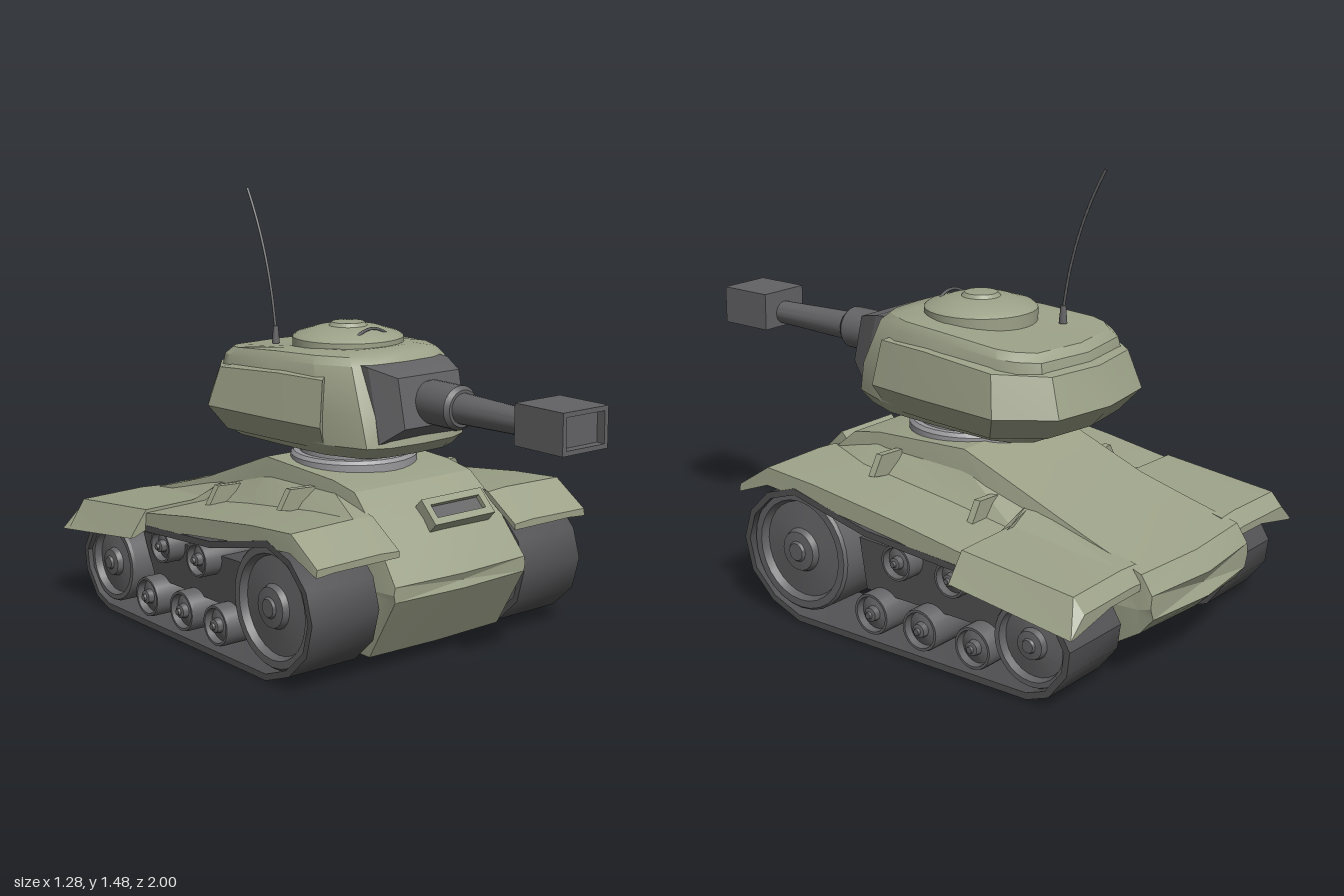
import * as THREE from 'three';
import { toCreasedNormals } from 'three/addons/utils/BufferGeometryUtils.js';

const paint = (color) => new THREE.MeshStandardMaterial({ color });
const olive = paint(0x9ca188), dark = paint(0x636365), rubber = paint(0x515153), steel = paint(0x99999c);

// Skin closed rings of [x, y, z]; rings run counterclockwise about the direction of travel
function loft(rings, crease = 0.5) {
  const n = rings[0].length, pos = rings.flat(2), index = [];
  for (let i = 0; i < rings.length - 1; i++) {
    for (let j = 0; j < n; j++) {
      const a = i * n + j, b = i * n + (j + 1) % n;
      index.push(a, b, b + n, a, b + n, a + n);
    }
  }
  [rings[0], rings[rings.length - 1]].forEach((ring, end) => {
    const c = pos.length / 3, base = end ? (rings.length - 1) * n : 0;
    for (let k = 0; k < 3; k++) pos.push(ring.reduce((t, p) => t + p[k], 0) / n);
    for (let j = 0; j < n; j++) {
      const a = base + j, b = base + (j + 1) % n;
      index.push(c, ...(end ? [a, b] : [b, a]));
    }
  });
  const g = new THREE.BufferGeometry();
  g.setAttribute('position', new THREE.Float32BufferAttribute(pos, 3));
  g.setIndex(index);
  g.computeVertexNormals();
  return toCreasedNormals(g, crease);
}

const lathe = (pts, seg = 28) =>
  toCreasedNormals(new THREE.LatheGeometry(pts.map((p) => new THREE.Vector2(...p)), seg), 0.5);

// Side profile in (z, y), extruded inwards from the plane x = outer
function sideExtrude(shape, outer, depth) {
  const g = new THREE.ExtrudeGeometry(shape, { depth, bevelEnabled: false });
  return toCreasedNormals(g.rotateY(-Math.PI / 2).translate(outer, 0, 0), 0.6);
}
const shapeOf = (pts) => new THREE.Shape(pts.map((p) => new THREE.Vector2(...p)));

// Rectangular ring with a slanted plane
const rect = (w, y0, z0, y1, z1) => [[-w, y0, z0], [w, y0, z0], [w, y1, z1], [-w, y1, z1]];

export function createModel() {
  const model = new THREE.Group();
  const add = (name, geometry, material, parent = model) => {
    const m = new THREE.Mesh(geometry, material);
    m.name = name;
    parent.add(m);
    return m;
  };

  // Hull: z, bottom/middle/top heights, bottom/middle/top half widths, centre bulge
  const hull = [
    [-0.97, 0.22, 0.26, 0.3, 0.27, 0.285, 0.28, -0.03],
    [-0.93, 0.17, 0.25, 0.36, 0.28, 0.29, 0.28, -0.02],
    [-0.74, 0.05, 0.25, 0.415, 0.28, 0.31, 0.265, 0],
    [-0.58, 0.05, 0.26, 0.465, 0.28, 0.31, 0.25, 0],
    [-0.23, 0.05, 0.26, 0.6, 0.28, 0.31, 0.25, 0],
    [0.13, 0.05, 0.26, 0.585, 0.28, 0.31, 0.25, 0],
    [0.24, 0.05, 0.27, 0.565, 0.28, 0.31, 0.25, 0],
    [0.35, 0.05, 0.28, 0.47, 0.28, 0.295, 0.265, 0.01],
    [0.475, 0.26, 0.285, 0.31, 0.28, 0.285, 0.28, 0.015],
  ];
  add('hull', loft(hull.map(([z, yb, ym, yt, wb, wm, wt, k]) => [
    [-wb, yb, z], [0, yb, z + k], [wb, yb, z], [wm, ym, z],
    [wt, yt, z], [0, yt, z + k], [-wt, yt, z], [-wm, ym, z],
  ]), 0.35), olive);

  // Vision port on the sloping front plate
  const port = new THREE.Group();
  port.name = 'visionPort';
  port.position.set(0.07, 0.475, 0.36);
  port.rotation.x = -0.8;
  model.add(port);
  const frame = shapeOf([[-0.13, -0.05], [0.13, -0.05], [0.13, 0.05], [-0.13, 0.05]]);
  frame.holes.push(shapeOf([[-0.105, -0.025], [-0.105, 0.025], [0.105, 0.025], [0.105, -0.025]]));
  add('portFrame', new THREE.ExtrudeGeometry(frame, { depth: 0.06, bevelEnabled: false }).translate(0, 0, -0.03), olive, port);
  add('portSlit', new THREE.BoxGeometry(0.22, 0.06, 0.03), dark, port);

  // Track outline and its inward offset
  const outline = [
    [0.44, 0.24], [0.41, 0.34], [0.33, 0.42], [0.21, 0.46], [0.08, 0.43], [-0.1, 0.39], [-0.47, 0.365],
    [-0.73, 0.335], [-0.83, 0.29], [-0.885, 0.2], [-0.875, 0.12], [-0.81, 0.035], [-0.73, 0.005],
    [0.2, 0], [0.32, 0.045], [0.41, 0.13],
  ];
  const inset = outline.map(([z, y], i) => {
    const a = outline.at(i - 1), b = outline[(i + 1) % outline.length];
    const dz = b[0] - a[0], dy = b[1] - a[1], l = Math.hypot(dz, dy);
    return [z - dy / l * 0.022, y + dz / l * 0.022];
  });
  const band = shapeOf(outline);
  band.holes.push(shapeOf(inset));

  const wheels = [
    [0.21, 0.24, 0.205], [-0.73, 0.175, 0.14],
    [-0.1, 0.1, 0.07], [-0.3, 0.1, 0.07], [-0.51, 0.1, 0.07],
    [-0.205, 0.3, 0.06], [-0.42, 0.3, 0.06],
  ];
  // Fender stations: z, height, rise to the hull, flare, skirt drop
  const fenderFront = [[-0.49, 0.405, 0.06, 0, 0.06], [-0.23, 0.445, 0.1, 0, 0.06],
    [0.13, 0.49, 0.06, 0, 0.06], [0.33, 0.505, 0, 0, 0.06], [0.46, 0.42, 0, 0, 0.025]];
  const fenderRear = [[-0.93, 0.33, 0, 0.06, 0.06], [-0.89, 0.375, 0, 0.06, 0.1], [-0.48, 0.418, 0.05, 0.06, 0.09]];

  for (const s of [1, -1]) {
    const side = new THREE.Group();
    side.name = s > 0 ? 'leftRunningGear' : 'rightRunningGear';
    model.add(side);
    const handed = (ring) => {
      const r = ring.map(([x, y, z]) => [x * s, y, z]);
      return s < 0 ? r.reverse() : r;
    };

    add('track', sideExtrude(band, s > 0 ? 0.58 : -0.315, 0.265), rubber, side);
    const plate = shapeOf([[-0.03, 0.15], [0, 0.32], [-0.62, 0.3], [-0.55, 0.15]]);
    add('suspensionPlate', sideExtrude(plate, s > 0 ? 0.5 : -0.34, 0.16), rubber, side);

    for (const [z, y, r] of wheels) {
      const g = lathe([[0, -0.22], [r, -0.22], [r, -0.01], [0.96 * r, 0], [0.84 * r, 0], [0.79 * r, -0.025],
        [0.36 * r, -0.015], [0.32 * r, 0.005], [0.17 * r, 0.008], [0.14 * r, 0.016], [0, 0.016]]);
      add('wheel', g.rotateZ(-s * Math.PI / 2), dark, side).position.set(s * 0.562, y, z);
    }

    const section = ([z, y, rise, w, d]) => handed([
      [0.25, y + rise - 0.02, z], [0.31, y - 0.02, z], [0.56, y - 0.02, z], [0.565 + w, y - d, z],
      [0.58 + w, y - d, z], [0.575, y, z], [0.33, y + 0.005, z], [0.25, y + rise, z],
    ]);
    add('frontFender', loft(fenderFront.map(section), 0.3), olive, side);
    add('rearFender', loft(fenderRear.map(section), 0.3), olive, side);

    // Small triangular brackets between hull and fender
    for (const [z, y] of [[0.035, 0.49], [-0.37, 0.425]]) {
      add('fenderBracket', loft([-0.012, 0.012].map((t) => handed(
        [[0.26, y - 0.02, z + t], [0.4, y, z + t], [0.36, y + 0.065, z + t], [0.26, y + 0.06, z + t]]))), olive, side);
    }
  }

  // Turret ring
  add('turretRing', lathe([[0, 0.55], [0.215, 0.55], [0.215, 0.61], [0.205, 0.622], [0.185, 0.622],
    [0.185, 0.645], [0.2, 0.648], [0.2, 0.68], [0, 0.68]], 32), steel).position.z = -0.07;

  // Turret shell: one plan outline, resized at each height
  const half = [[0, 1], [0.45, 0.99], [0.7, 0.95], [0.9, 0.78], [0.97, 0.5], [1, 0.2], [0.93, 0.12], [0.74, 0.04], [0, 0]];
  const plan = [...half, ...half.slice(1, -1).reverse().map(([u, v]) => [-u, v])];
  const shell = [[0.66, 0.27, 0.25, -0.5], [0.7, 0.295, 0.29, -0.54], [0.8, 0.305, 0.27, -0.56],
    [0.955, 0.285, 0.2, -0.53], [0.98, 0.265, 0.17, -0.5], [0.99, 0.19, 0.1, -0.35]];
  add('turret', loft(shell.map(([y, w, zf, zr]) => plan.map(([u, v]) =>
    [u * w, y - (y > 0.9 ? 0.035 * (1 - v) ** 2 : 0), zr + v * (zf - zr)])), 0.6), olive);

  // Raised armour belt around the sides and rear
  const path = [[0.295, 0.12], [0.325, -0.1], [0.355, -0.42], [0.23, -0.585], [0, -0.62]];
  const belt = [...path, ...path.slice(0, -1).reverse().map(([x, z]) => [-x, z])];
  add('turretBelt', loft(belt.map(([x, z]) => {
    const top = 0.91 + 0.05 * Math.min(0, z + 0.1);
    return [[0.8, top + 0.01], [0.91, top], [1, 0.76], [0.86, 0.68], [0.78, 0.75]].map(
      ([k, y]) => [x * k, y, -0.1 + (z + 0.1) * k]);
  }), 0.3), olive);

  // Mantlet and gun
  add('mantlet', loft([rect(0.17, 0.7, 0.2, 0.96, 0.14), rect(0.17, 0.715, 0.27, 0.955, 0.21),
    rect(0.13, 0.77, 0.345, 0.93, 0.31)], 0.3), dark);
  const gun = add('barrel', lathe([[0, 0.28], [0.062, 0.28], [0.072, 0.33], [0.072, 0.46], [0.06, 0.475],
    [0.05, 0.475], [0.04, 0.82], [0, 0.82]], 24).rotateX(Math.PI / 2), dark);
  gun.position.y = 0.842;
  const muzzle = shapeOf([[-0.095, -0.065], [0.095, -0.065], [0.095, 0.065], [-0.095, 0.065]]);
  muzzle.holes.push(shapeOf([[-0.08, -0.05], [-0.08, 0.05], [0.08, 0.05], [0.08, -0.05]]));
  add('muzzleRim', new THREE.ExtrudeGeometry(muzzle, { depth: 0.03, bevelEnabled: false }).translate(0, 0.858, 0.97), dark);
  add('muzzleBlock', new THREE.BoxGeometry(0.19, 0.13, 0.17).translate(0, 0.858, 0.885), dark);

  // Roof hatch with knob and handle
  add('hatch', lathe([[0, 0.95], [0.188, 0.95], [0.188, 1.005], [0.175, 1.015], [0.11, 1.035], [0.065, 1.04],
    [0.055, 1.052], [0, 1.057]], 32), olive).position.z = -0.1;
  const arc = new THREE.QuadraticBezierCurve3(new THREE.Vector3(-0.07, 1.015, 0.025),
    new THREE.Vector3(0, 1.07, 0.025), new THREE.Vector3(0.07, 1.015, 0.025));
  add('hatchHandle', new THREE.TubeGeometry(arc, 12, 0.005, 6), dark);

  // Antenna
  add('antennaBase', new THREE.CylinderGeometry(0.009, 0.014, 0.06, 10).translate(-0.12, 0.99, -0.345), dark);
  const whip = new THREE.QuadraticBezierCurve3(new THREE.Vector3(-0.12, 1, -0.345),
    new THREE.Vector3(-0.12, 1.26, -0.375), new THREE.Vector3(-0.12, 1.48, -0.5));
  add('antenna', new THREE.TubeGeometry(whip, 16, 0.005, 6), dark);

  return model;
}
